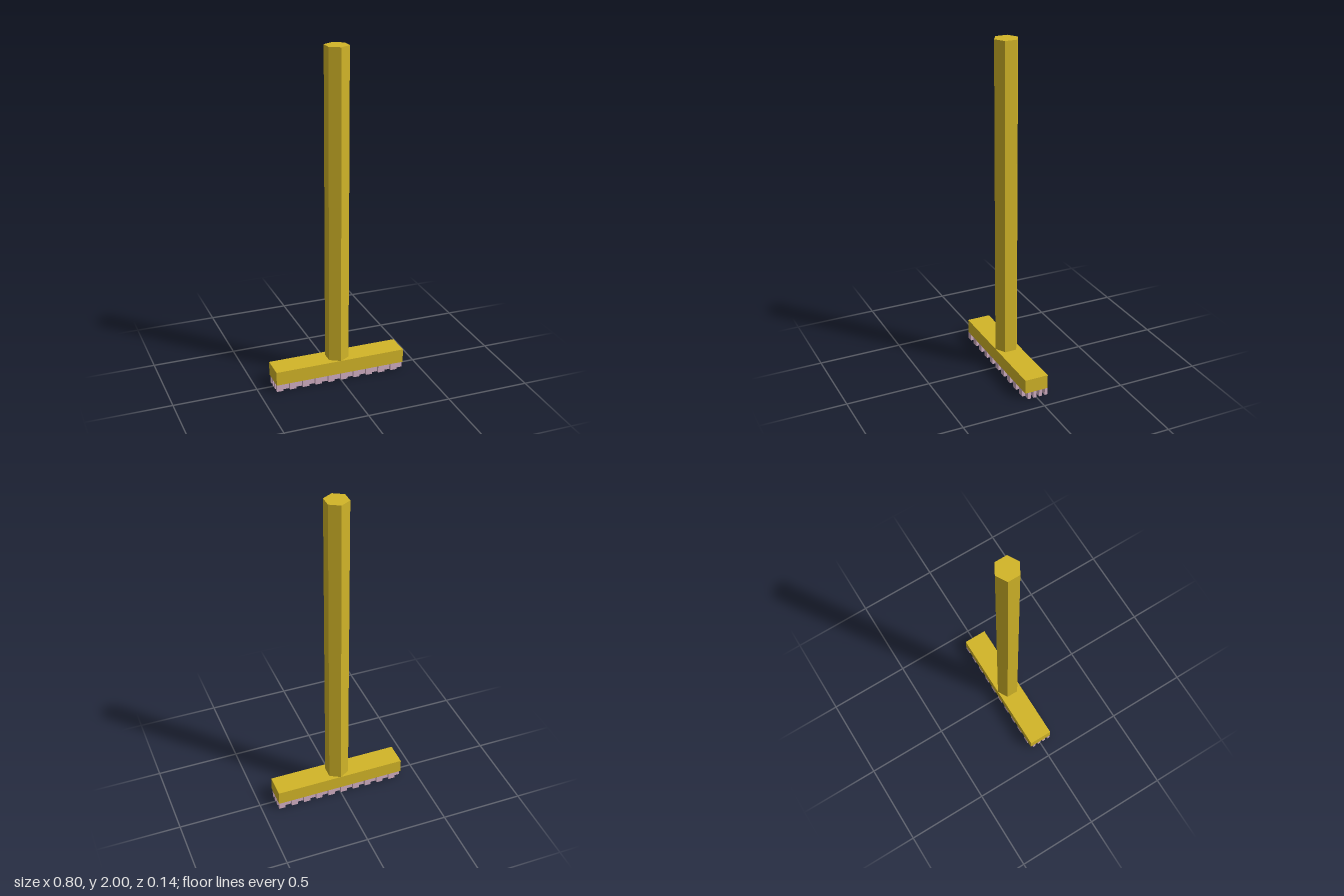
import * as THREE from 'three';

const WIDTH = 0.8, DEPTH = 0.142;
const TUFT_H = 0.042, HEAD_TOP = 0.126, TOP = 2;
const COLS = 20, ROWS = 8;

export function createModel() {
  const group = new THREE.Group();
  const wood = new THREE.MeshStandardMaterial({ color: 0xd2b528, flatShading: true });
  const bristle = new THREE.MeshStandardMaterial({ color: 0xd3b0c4, flatShading: true });

  const add = (name, geometry, material, x, y, z, parent = group) => {
    const mesh = new THREE.Mesh(geometry, material);
    mesh.name = name;
    mesh.position.set(x, y, z);
    parent.add(mesh);
  };

  // Six-sided handle, corners pointing to front and back
  add('handle', new THREE.CylinderGeometry(DEPTH / 2, DEPTH / 2, TOP - HEAD_TOP, 6),
    wood, 0, (TOP + HEAD_TOP) / 2, 0);

  // Brush head block
  add('head', new THREE.BoxGeometry(WIDTH, HEAD_TOP - TUFT_H, DEPTH),
    wood, 0, (HEAD_TOP + TUFT_H) / 2, 0);

  // Bristle tufts in a checkerboard under the head
  const bristles = new THREE.Group();
  bristles.name = 'bristles';
  group.add(bristles);
  const w = WIDTH / COLS, d = DEPTH / ROWS;
  const tuft = new THREE.BoxGeometry(w, TUFT_H, d);
  for (let row = 0; row < ROWS; row++) {
    for (let col = row % 2; col < COLS; col += 2) {
      add('bristleTuft', tuft, bristle,
        -WIDTH / 2 + (col + 0.5) * w, TUFT_H / 2, DEPTH / 2 - (row + 0.5) * d, bristles);
    }
  }
  return group;
}
